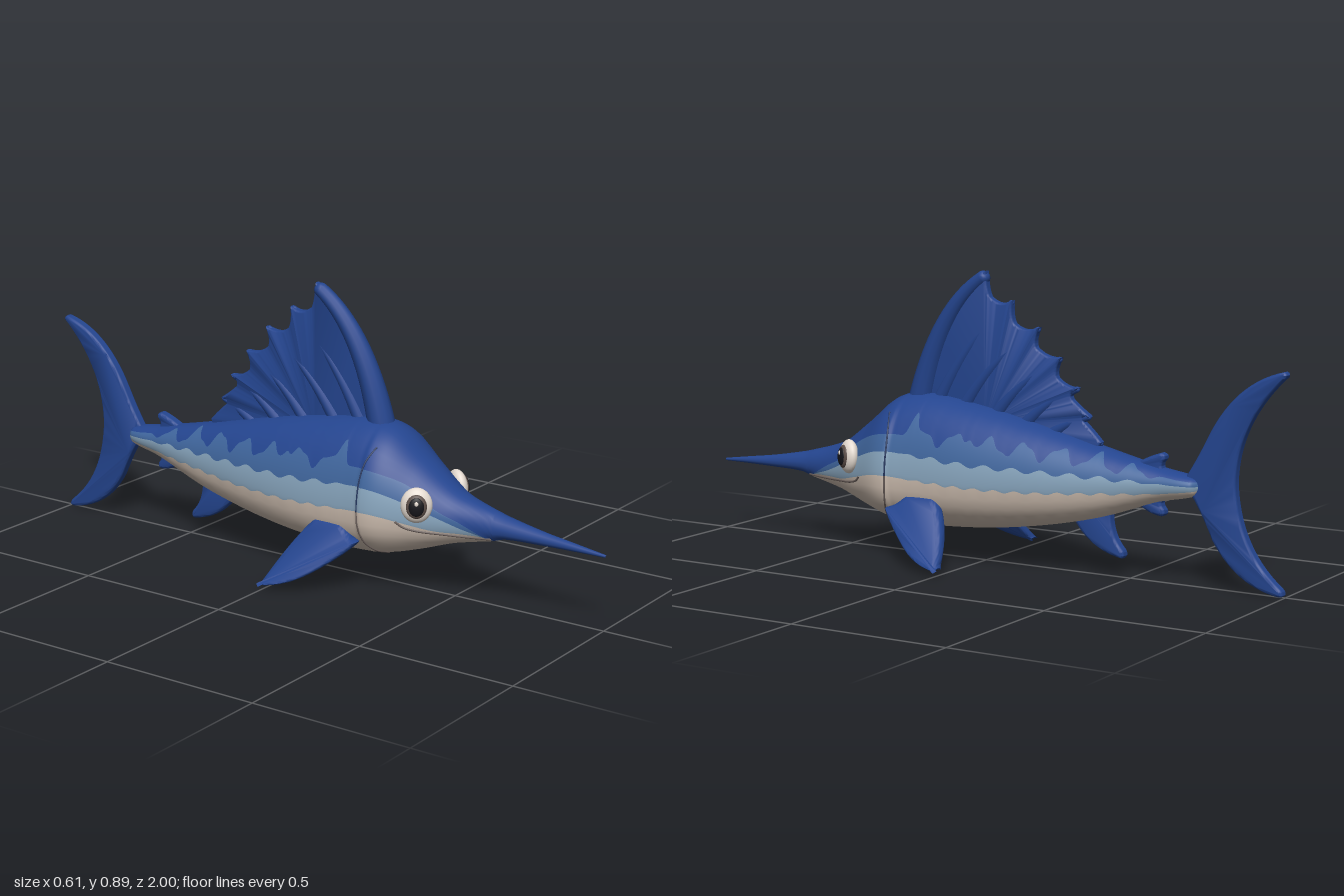
import * as THREE from 'three';
import { toCreasedNormals } from 'three/addons/utils/BufferGeometryUtils.js';

const mat = (name, color, side = THREE.FrontSide) => {
  const m = new THREE.MeshStandardMaterial({ color, side });
  m.name = name;
  return m;
};

// Body stations: z, bottom y, top y, y of widest point, half width
const STATIONS = [
  [1, .224, .232, .228, .004], [.9, .223, .246, .234, .012], [.8, .221, .26, .238, .02],
  [.68, .217, .282, .243, .036], [.64, .205, .292, .244, .043], [.56, .187, .314, .247, .062],
  [.5, .172, .338, .25, .083], [.4, .138, .412, .255, .128], [.3, .111, .49, .255, .164],
  [.2, .1, .508, .258, .165], [0, .108, .482, .262, .16], [-.2, .133, .44, .27, .136],
  [-.4, .176, .39, .28, .098], [-.6, .243, .345, .296, .058], [-.71, .268, .326, .3, .04],
  [-.73, .285, .315, .3, .015],
];
// Colour borders: z, belly/pale, pale/mid, mid/back
const BORDERS = [
  [1, .2, .2, .2], [.66, .2, .2, .2], [.62, .218, .219, .22], [.55, .222, .24, .256],
  [.48, .224, .268, .288], [.4, .242, .302, .35], [.3, .264, .335, .386], [.2, .26, .335, .39],
  [0, .25, .32, .385], [-.2, .25, .315, .372], [-.4, .26, .31, .356], [-.6, .272, .303, .325],
  [-.73, .288, .3, .312],
];

// Smooth interpolation through a table sorted by falling z
function sample(table, z, col) {
  let i = 0;
  while (i < table.length - 2 && z < table[i + 1][0]) i++;
  const slope = (k) => {
    const a = table[Math.max(k - 1, 0)], b = table[Math.min(k + 1, table.length - 1)];
    return (b[col] - a[col]) / (b[0] - a[0]);
  };
  const p = table[i], q = table[i + 1], d = q[0] - p[0], t = (z - p[0]) / d;
  const t2 = t * t, t3 = t2 * t;
  return p[col] * (2 * t3 - 3 * t2 + 1) + slope(i) * d * (t3 - 2 * t2 + t)
    + q[col] * (3 * t2 - 2 * t3) + slope(i + 1) * d * (t3 - t2);
}

// Section of the body: point from angle, and angle from height
function section(z) {
  const [yb, yt, yc, w0] = [1, 2, 3, 4].map((c) => sample(STATIONS, z, c));
  const gill = THREE.MathUtils.smoothstep(z, .25, .268) * (1 - THREE.MathUtils.smoothstep(z, .28, .42));
  const w = w0 * (1 + .05 * gill);
  return {
    at: (a) => [w * Math.pow(Math.max(Math.cos(a), 0), a < 0 ? .8 : 1),
      yc + Math.sin(a) * (a > 0 ? yt - yc : yc - yb)],
    angle: (y) => Math.asin(THREE.MathUtils.clamp((y - yc) / (y > yc ? yt - yc : yc - yb), -1, 1)),
  };
}
const onSkin = (z, y, side) => {
  const s = section(z), [x, yy] = s.at(s.angle(y));
  return new THREE.Vector3(side * x, yy, z);
};

// Body skin with four wavy colour bands as geometry groups
function bodyGeometry() {
  const N = 260, K = 7, R = 4 * K, ring = 2 * R, pos = [], bands = [[], [], [], []];
  const row = (j) => (j <= R ? j : ring - j);
  const bump = (z, c, w) => Math.exp(-(((z - c) / w) ** 2));
  for (let i = 0; i <= N; i++) {
    const z = 1 - 1.73 * i / N, s = section(z);
    const fade = THREE.MathUtils.smoothstep(-z, -.24, -.1) * (1 - THREE.MathUtils.smoothstep(-z, .45, .68));
    const wave = [.004 * Math.sin(z * 95), .007 * Math.sin(z * 70 + 1),
      .021 * Math.sin(z * 56) + .006 * Math.sin(z * 130)];
    const extra = .075 * bump(z, .18, .016) + .03 * bump(z, -.02, .014);
    const edge = [-Math.PI / 2];
    for (let b = 0; b < 3; b++) {
      const y = sample(BORDERS, z, b + 1) + fade * wave[b] + (b === 2 ? extra : 0);
      edge.push(Math.max(edge[b], s.angle(y)));
    }
    edge.push(Math.PI / 2);
    for (let j = 0; j < ring; j++) {
      const r = row(j), b = Math.min(3, Math.floor(r / K));
      const [x, y] = s.at(THREE.MathUtils.lerp(edge[b], edge[b + 1], r / K - b));
      pos.push(j <= R ? x : -x, y, z);
      if (i === N) continue;
      const k = (j + 1) % ring, a = i * ring + j, c = i * ring + k;
      bands[Math.floor(Math.min(r, row(j + 1)) / K)].push(a, a + ring, c, c, a + ring, c + ring);
    }
  }
  const g = new THREE.BufferGeometry();
  g.setAttribute('position', new THREE.Float32BufferAttribute(pos, 3));
  g.setIndex(bands.flat());
  let start = 0;
  bands.forEach((b, m) => { g.addGroup(start, b.length, m); start += b.length; });
  g.computeVertexNormals();
  return g;
}

// Rounded fin plate from an outline in (z, y)
function finGeometry(shape, thick) {
  const bevel = thick * .38;
  const g = new THREE.ExtrudeGeometry(shape, { depth: thick - 2 * bevel, bevelThickness: bevel,
    bevelSize: bevel * .7, bevelOffset: -bevel * .35, bevelSegments: 4, curveSegments: 14 });
  g.translate(0, 0, bevel - thick / 2);
  g.rotateY(-Math.PI / 2);
  return toCreasedNormals(g, .8);
}
// Closed outline: start point, then curves as [control z, control y, end z, end y]
function outline(start, curves) {
  const s = new THREE.Shape().moveTo(...start);
  curves.forEach((c) => s.quadraticCurveTo(...c));
  return s;
}

// Tube whose radius runs from r0 to r1
function taperTube(curve, r0, r1, steps = 24) {
  const g = new THREE.TubeGeometry(curve, steps, 1, 12), p = g.attributes.position, v = new THREE.Vector3();
  for (let i = 0; i < p.count; i++) {
    const t = Math.floor(i / 13) / steps, c = curve.getPointAt(t);
    v.fromBufferAttribute(p, i).sub(c).multiplyScalar(r0 + (r1 - r0) * t).add(c);
    p.setXYZ(i, v.x, v.y, v.z);
  }
  return g;
}

export function createModel() {
  const blue = mat('deep blue', 0x24458f), mid = mat('mid blue', 0x3f659c);
  const pale = mat('pale blue', 0x86a3bb), cream = mat('belly cream', 0xd0c0b2);
  const line = mat('crease navy', 0x20345f), white = mat('eye white', 0xe4dad0);
  const iris = mat('iris brown', 0x5c4e48), black = mat('pupil black', 0x15151a);
  const lip = mat('lip brown', 0x6e625e);
  const model = new THREE.Group();
  const add = (name, geo, m, parent = model) => {
    const mesh = new THREE.Mesh(geo, m);
    mesh.name = name;
    parent.add(mesh);
    return mesh;
  };
  add('body', bodyGeometry(), [cream, pale, mid, blue]);

  // Sail: scalloped web between curved rays; rays are [base z, base y, tip z, tip y]
  const sail = new THREE.Group();
  sail.name = 'sail';
  model.add(sail);
  const rays = [[.17, .47, -.092, .8], [.08, .46, -.185, .725], [-.03, .44, -.26, .64],
    [-.13, .42, -.32, .555], [-.22, .4, -.36, .475], [-.3, .38, -.4, .4]];
  const valleys = [[-.015, .81], [-.1, .735], [-.178, .665], [-.25, .58], [-.3, .52], [-.34, .457]];
  const web = new THREE.Shape().moveTo(.27, .46);
  web.quadraticCurveTo(.2, .79, 0, .885);
  rays.forEach(([, , z, y], i) => {
    const [vz, vy] = valleys[i];
    web.quadraticCurveTo(vz + .012, vy + .022, vz, vy);
    web.quadraticCurveTo(vz - .035, vy - .03, z, y);
  });
  web.lineTo(-.38, .36).lineTo(0, .42).lineTo(.27, .46);
  add('sailWeb', finGeometry(web, .03), blue, sail);
  const ray = (bz, by, cz, cy, tz, ty, r0, r1) => {
    const tip = new THREE.Vector3(0, ty, tz);
    const c = new THREE.QuadraticBezierCurve3(new THREE.Vector3(0, by, bz), new THREE.Vector3(0, cy, cz), tip);
    add('sailRay', taperTube(c, r0, r1), blue, sail);
    add('sailRayTip', new THREE.SphereGeometry(r1, 12, 8), blue, sail).position.copy(tip);
  };
  ray(.24, .45, .178, .755, .012, .867, .044, .022);
  rays.forEach(([bz, by, tz, ty]) => ray(bz, by, bz * .62 + tz * .38, by * .38 + ty * .62,
    tz + .004, ty - .004, .027, .009));

  // Crescent tail
  add('tailFin', finGeometry(outline([-.68, .31], [[-.72, .37, -.755, .44], [-.84, .61, -.99, .645],
    [-1, .64, -.985, .63], [-.84, .49, -.84, .315], [-.85, .13, -.985, .025], [-1, .01, -.985, .008],
    [-.85, .025, -.775, .15], [-.73, .25, -.68, .31]]), .036), blue);

  // Belly fin and the small paired finlets near the tail
  add('bellyFin', finGeometry(outline([-.3, .2], [[-.35, .085, -.475, .065], [-.485, .07, -.475, .085],
    [-.43, .13, -.435, .21], [-.37, .23, -.3, .2]]), .036), blue);
  add('upperFinlet', finGeometry(outline([-.52, .345], [[-.56, .37, -.605, .383], [-.618, .38, -.612, .37],
    [-.59, .35, -.62, .32], [-.57, .31, -.52, .345]]), .036), blue);
  add('lowerFinlet', finGeometry(outline([-.52, .25], [[-.55, .21, -.605, .205], [-.618, .208, -.612, .22],
    [-.59, .24, -.62, .27], [-.57, .28, -.52, .25]]), .036), blue);

  // Side parts, mirrored
  for (const side of [1, -1]) {
    const name = side > 0 ? 'left' : 'right';

    // Pectoral fin sweeps outward as it drops
    const fin = finGeometry(outline([.25, .165], [[.22, .17, .19, .205], [.14, .21, .1, .205],
      [.04, .14, .005, .035], [0, .02, -.005, .022], [.08, .03, .15, .08], [.22, .13, .25, .165]]), .042);
    const p = fin.attributes.position;
    for (let i = 0; i < p.count; i++) {
      const drop = .2 - p.getY(i);
      p.setX(i, p.getX(i) + side * (.14 + .56 * drop + 1.25 * drop * Math.max(drop, 0)));
    }
    fin.computeVertexNormals();
    add(name + 'PectoralFin', toCreasedNormals(fin, .8), blue);

    // Eye: stacked flattened domes facing out and forward
    const eye = new THREE.Group();
    eye.name = name + 'Eye';
    eye.position.set(side * .112, .302, .432);
    eye.lookAt(side * (.112 + .82), .36, .432 + .52);
    model.add(eye);
    [['eyeball', .047, .053, .026, 0, white], ['iris', .031, .036, .012, .0185, iris],
      ['pupil', .023, .028, .008, .0255, black], ['glint', .006, .007, .003, .0325, white]]
      .forEach(([part, w, h, d, out, m]) => {
        const dome = add(part, new THREE.SphereGeometry(1, 28, 18), m, eye);
        dome.scale.set(w, h, d);
        dome.position.set(0, part === 'glint' ? .011 : 0, out);
      });

    // Smile and gill creases lying on the skin
    const crease = (part, pts, r, m) => add(name + part, new THREE.TubeGeometry(
      new THREE.CatmullRomCurve3(pts.map(([z, y]) => onSkin(z, y, side))), 40, r, 6), m);
    crease('Mouth', [[.375, .248], [.395, .232], [.43, .222], [.5, .216], [.57, .214], [.64, .216]], .0035, lip);
    crease('UpperGill', [[.285, .45], [.268, .41], [.261, .36], [.26, .31], [.26, .265]], .003, line);
    crease('LowerGill', [[.26, .265], [.262, .22], [.272, .17], [.29, .135], [.305, .118]], .003, lip);
  }
  return model;
}
